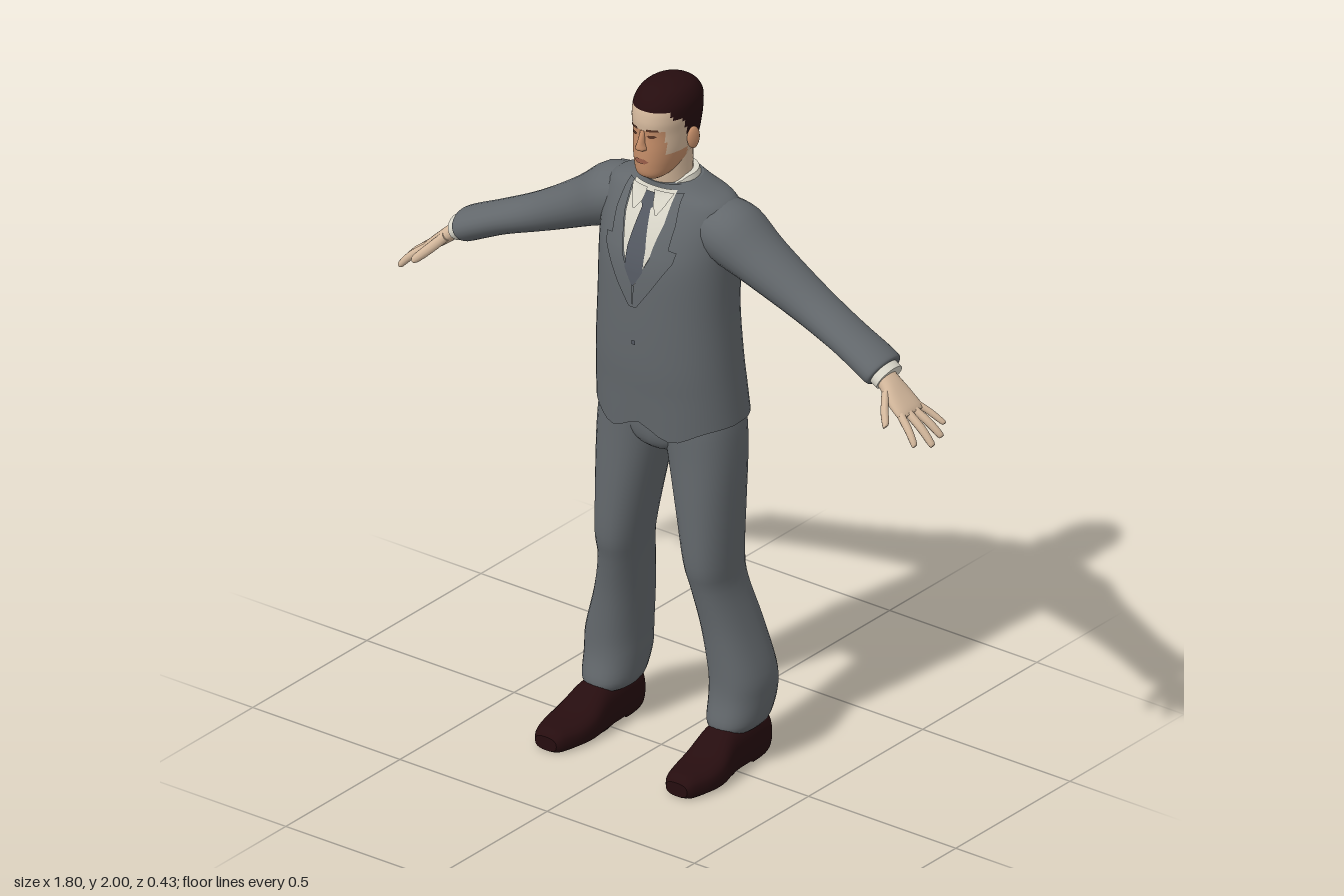
import * as THREE from 'three';

const mat = (name, color) => Object.assign(new THREE.MeshStandardMaterial({ color }), { name });
const V = (x, y, z) => new THREE.Vector3(x, y, z);

// Horizontal cross-section from its extents: [x, y, z, halfU, halfV]
const box = (y, x0, x1, z0, z1) => [(x0 + x1) / 2, y, (z0 + z1) / 2, (x1 - x0) / 2, (z1 - z0) / 2];
const sym = (y, w, z0, z1) => box(y, -w, w, z0, z1);

// Smooth resampling of cross-sections
function resample(keys, sub) {
  const out = [];
  const at = i => keys[Math.max(0, Math.min(keys.length - 1, i))];
  for (let i = 0; i < keys.length - 1; i++) {
    for (let s = 0; s < sub; s++) {
      const t = s / sub;
      out.push(keys[i].map((b, k) => {
        const a = at(i - 1)[k], c = at(i + 1)[k], d = at(i + 2)[k];
        return 0.5 * (2 * b + (c - a) * t + (2 * a - 5 * b + 4 * c - d) * t * t + (3 * b - a - 3 * c + d) * t ** 3);
      }));
    }
  }
  out.push(keys[keys.length - 1]);
  return out;
}

// Skin over superelliptic cross-sections; pick(x, y, z) selects a material per quad
function loft(keys, { seg = 24, sub = 4, n = 2, u = V(1, 0, 0), v = V(0, 0, 1), pick = null, warp = null } = {}) {
  const rings = resample(keys, sub), first = rings[0], last = rings[rings.length - 1];
  const d = V(last[0] - first[0], last[1] - first[1], last[2] - first[2]);
  const w = u.clone().cross(v).dot(d) > 0 ? v.clone().negate() : v;
  const pts = [], lists = [];
  const add = (r, j) => {
    const a = j / seg * Math.PI * 2, c = Math.cos(a), s = Math.sin(a);
    const p = V(r[0], r[1], r[2])
      .addScaledVector(u, r[3] * Math.sign(c) * Math.abs(c) ** (2 / n))
      .addScaledVector(w, r[4] * Math.sign(s) * Math.abs(s) ** (2 / n));
    if (warp) warp(p);
    pts.push(p);
  };
  const tri = (a, b, c, g) => (lists[g] ??= []).push(a, b, c);
  rings.forEach(r => { for (let j = 0; j < seg; j++) add(r, j); });
  for (let i = 0; i < rings.length - 1; i++) for (let j = 0; j < seg; j++) {
    const k = (j + 1) % seg, a = i * seg + j, b = i * seg + k, c = a + seg, e = b + seg;
    const m = pts[a].clone().add(pts[e]).multiplyScalar(0.5);
    const g = pick ? pick(m.x, m.y, m.z) : 0;
    tri(a, c, b, g); tri(b, c, e, g);
  }
  // End caps
  [first, last].forEach((r, end) => {
    const o = pts.length;
    for (let j = 0; j < seg; j++) add(r, j);
    pts.push(V(r[0], r[1], r[2]));
    const g = pick ? pick(r[0], r[1], r[2]) : 0;
    for (let j = 0; j < seg; j++) {
      const k = o + (j + 1) % seg;
      if (end) tri(o + j, o + seg, k, g); else tri(o + j, k, o + seg, g);
    }
  });
  const geo = new THREE.BufferGeometry().setFromPoints(pts);
  const index = [];
  lists.forEach((l, g) => { if (pick) geo.addGroup(index.length, l.length, g); for (const i of l) index.push(i); });
  geo.setIndex(index);
  geo.computeVertexNormals();
  return geo;
}

// Sheet lying on the front of a lofted body; rows are [y, xLeft, xRight]
function patch(keys, n, rows, off, cols = 10) {
  const rings = resample(keys, 4), pos = [], idx = [], fine = [];
  const front = (x, y) => {
    let i = 0;
    while (i < rings.length - 2 && rings[i + 1][1] < y) i++;
    const t = (y - rings[i][1]) / (rings[i + 1][1] - rings[i][1]);
    const r = rings[i].map((a, k) => a + (rings[i + 1][k] - a) * t);
    return r[2] + r[4] * Math.max(0, 1 - Math.abs(x / r[3]) ** n) ** (1 / n);
  };
  for (let i = 0; i < rows.length - 1; i++) for (let s = 0; s < 6; s++)
    fine.push(rows[i].map((a, k) => a + (rows[i + 1][k] - a) * s / 6));
  fine.push(rows[rows.length - 1]);
  fine.forEach(([y, a, b], i) => {
    for (let j = 0; j <= cols; j++) {
      const x = a + (b - a) * j / cols, q = i * (cols + 1) + j;
      pos.push(x, y, front(x, y) + off);
      if (i < fine.length - 1 && j < cols) idx.push(q, q + cols + 1, q + 1, q + 1, q + cols + 1, q + cols + 2);
    }
  });
  const geo = new THREE.BufferGeometry();
  geo.setAttribute('position', new THREE.Float32BufferAttribute(pos, 3));
  geo.setIndex(idx);
  geo.computeVertexNormals();
  return geo;
}

function mirrored(geo) {
  const g = geo.clone().scale(-1, 1, 1), ix = g.index.array;
  for (let i = 0; i < ix.length; i += 3) [ix[i], ix[i + 1]] = [ix[i + 1], ix[i]];
  g.computeVertexNormals();
  return g;
}

export function createModel() {
  const model = new THREE.Group();
  model.name = 'manInSuit';
  const suit = mat('suit grey', 0x63686c), dark = mat('dark brown', 0x260d0f), skin = mat('pale skin', 0xd4b89c);
  const tan = mat('tan face', 0xc48d68), shirt = mat('shirt white', 0xdad7ca), tieMat = mat('tie grey', 0x555a63);
  const brow = mat('brow brown', 0x5a3626), lip = mat('lip brown', 0x9c5f4a);
  for (const m of [suit, shirt, tieMat, brow, lip]) m.side = THREE.DoubleSide;
  const add = (name, geo, m) => {
    const mesh = new THREE.Mesh(geo, m);
    mesh.name = name;
    model.add(mesh);
  };
  const pair = (name, geo, m) => {
    add('left' + name, geo, m);
    add('right' + name, mirrored(geo), m);
  };

  // Jacket body with a dipped front hem
  const torso = [sym(1.02, .225, -.21, .102), sym(1.1, .22, -.202, .11), sym(1.2, .213, -.193, .118),
    sym(1.35, .204, -.188, .12), sym(1.48, .205, -.199, .115), sym(1.56, .21, -.2, .095),
    sym(1.62, .208, -.185, .07), sym(1.665, .19, -.16, .045), sym(1.69, .13, -.142, .033), sym(1.71, .083, -.13, .03)];
  const hem = p => {
    if (p.y < 1.1 && p.z > -.03) p.y -= .045 * Math.exp(-(((Math.abs(p.x) - .1) / .07) ** 2)) * (1.1 - p.y) / .08;
  };
  add('jacket', loft(torso, { seg: 48, n: 2.2, warp: hem }), suit);

  // Shirt front, tie and lapels
  add('shirtFront', patch(torso, 2.2, [[1.43, -.001, .001], [1.52, -.043, .043], [1.62, -.066, .066], [1.7, -.07, .07]], .005), shirt);
  add('tie', patch(torso, 2.2, [[1.435, -.004, .004], [1.48, -.03, .03], [1.54, -.03, .03], [1.645, -.014, .014], [1.655, -.022, .022], [1.685, -.026, .026]], .009), tieMat);
  pair('Lapel', patch(torso, 2.2, [[1.37, 0, .012], [1.43, .002, .055], [1.52, .045, .112], [1.55, .05, .118], [1.555, .051, .095], [1.62, .067, .1], [1.695, .071, .09]], .008), suit);
  pair('CollarWing', patch(torso, 2.2, [[1.635, .035, .04], [1.66, .018, .055], [1.695, .012, .07]], .013), shirt);
  add('button', patch(torso, 2.2, [[1.255, -.006, .006], [1.268, -.006, .006]], .004, 2), tieMat);
  add('shirtCollar', loft([sym(1.67, .085, -.135, .035), sym(1.7, .08, -.13, .032), sym(1.725, .073, -.122, .028)],
    { warp: p => { p.y -= Math.max(0, p.z + .03) * .45; } }), shirt);

  // Trousers
  add('trouserSeat', loft([sym(.895, .03, -.09, .0), sym(.92, .09, -.14, .045), sym(.97, .17, -.165, .06), sym(1.06, .2, -.17, .06)], { n: 2.3 }), suit);
  pair('TrouserLeg', loft([box(.11, .15, .27, -.145, .025), box(.135, .137, .286, -.165, .03), box(.2, .13, .293, -.187, .015),
    box(.27, .126, .29, -.186, .012), box(.4, .112, .25, -.17, .02), box(.52, .097, .218, -.145, .042), box(.6, .083, .217, -.135, .06),
    box(.75, .053, .22, -.145, .062), box(.9, .02, .222, -.157, .06), box(1, 0, .215, -.165, .06), box(1.06, 0, .2, -.165, .055)],
  { seg: 28, n: 2.3 }), suit);

  // Shoes, flat underneath
  const flat = p => { p.y = Math.max(p.z > -.06 && p.z < .0 ? .012 : 0, p.y); };
  pair('Shoe', loft([[.215, .06, -.155, .035, .04], [.215, .06, -.14, .05, .07], [.215, .06, -.07, .056, .08], [.215, .055, .02, .06, .075],
    [.22, .035, .09, .07, .05], [.222, .028, .15, .066, .038], [.222, .026, .2, .05, .034], [.222, .022, .22, .036, .02]],
  { seg: 24, n: 2.6, v: V(0, 1, 0), warp: flat }), dark);

  // Sleeves and cuffs
  const across = V(.46, .89, 0).normalize();
  pair('Sleeve', loft([[.12, 1.61, -.06, .07, .09], [.2, 1.58, -.06, .087, .1], [.3, 1.522, -.065, .07, .086], [.45, 1.44, -.075, .055, .07],
    [.58, 1.383, -.07, .047, .067], [.66, 1.346, -.067, .047, .07], [.7, 1.326, -.065, .046, .07], [.708, 1.322, -.065, .04, .062]], { u: across }), suit);
  pair('Cuff', loft([[.69, 1.33, -.062, .036, .054], [.728, 1.31, -.06, .036, .052]], { u: across, sub: 1 }), shirt);

  // Hands with spread fingers
  pair('Palm', loft([[.69, 1.332, -.055, .023, .034], [.735, 1.302, -.05, .022, .036], [.77, 1.272, -.046, .02, .047],
    [.805, 1.244, -.045, .015, .051], [.818, 1.234, -.045, .009, .045]], { u: V(.6, .8, 0), n: 2.3 }), skin);
  const fingers = [['Thumb', [.745, 1.292, -.02], [.775, 1.258, .022], [.8, 1.232, .048], .014],
    ['IndexFinger', [.805, 1.243, -.008], [.845, 1.212, .006], [.872, 1.182, .016], .0115],
    ['MiddleFinger', [.81, 1.241, -.034], [.855, 1.208, -.034], [.892, 1.17, -.034], .012],
    ['RingFinger', [.808, 1.242, -.06], [.852, 1.211, -.07], [.886, 1.177, -.08], .0115],
    ['LittleFinger', [.8, 1.247, -.084], [.835, 1.222, -.101], [.868, 1.196, -.115], .0095]];
  for (const [name, a, b, c, r] of fingers) {
    const tip = c.map((q, i) => q + (c[i] - b[i]) * .12);
    pair(name, loft([[...a, r, r], [...b, r, r], [...c, r * .8, r * .8], [...tip, r * .25, r * .25]],
      { seg: 10, sub: 3, u: V(.6, .8, 0) }), skin);
  }

  // Neck and head, with hair and face as separate colour regions
  add('neck', loft([sym(1.67, .066, -.115, .02), sym(1.73, .058, -.108, .03), sym(1.82, .058, -.11, .03)]), skin);
  const skull = [sym(1.735, .028, .0, .066), sym(1.75, .046, -.035, .083), sym(1.78, .06, -.09, .088), sym(1.82, .07, -.125, .088),
    sym(1.87, .076, -.138, .084), sym(1.91, .081, -.14, .085), sym(1.95, .08, -.137, .075), sym(1.98, .064, -.115, .048),
    sym(1.995, .036, -.08, .012), sym(2, .006, -.04, -.025)];
  const region = (x, y, z) => {
    if (y > 1.94 || (y > 1.8 && z < .005 - (1.91 - y) * .5) || (y > 1.915 && z < .04)) return 1;
    return (y < 1.885 && Math.abs(x) < .056 && z > .02) || (y < 1.815 && z > -.03) ? 2 : 0;
  };
  add('head', loft(skull, { seg: 64, sub: 8, n: 2.15, pick: region }), [skin, dark, tan]);
  pair('Ear', new THREE.SphereGeometry(1, 14, 10).scale(.01, .033, .02).rotateY(-.3).translate(.082, 1.842, -.035), tan);

  // Facial features
  add('nose', loft([[0, 1.826, .082, .01, .008], [0, 1.833, .088, .017, .017], [0, 1.85, .086, .011, .016], [0, 1.885, .08, .007, .006]], { seg: 14 }), tan);
  add('mouth', patch(skull, 2.15, [[1.788, -.012, .012], [1.795, -.024, .024], [1.802, -.012, .012]], .003), lip);
  pair('Eyebrow', patch(skull, 2.15, [[1.886, .014, .046], [1.893, .016, .044]], .003), brow);
  pair('Eye', patch(skull, 2.15, [[1.866, .024, .032], [1.871, .016, .041], [1.875, .022, .036]], .003), brow);
  return model;
}
